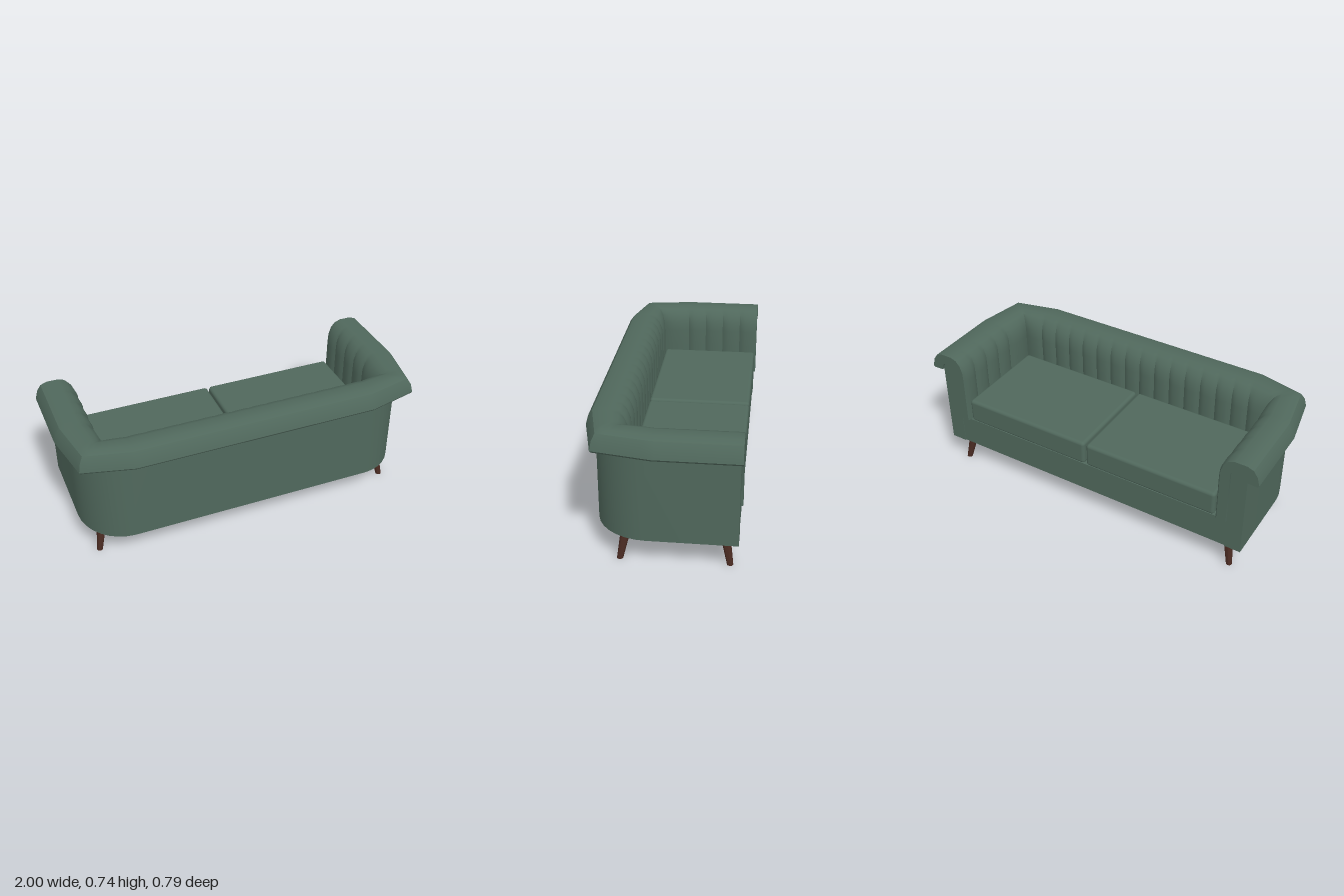
import * as THREE from 'three';
import { toCreasedNormals } from 'three/addons/utils/BufferGeometryUtils.js';
import { RoundedBoxGeometry } from 'three/addons/geometries/RoundedBoxGeometry.js';

const fabric = new THREE.MeshStandardMaterial({ color: 0x50685c });
fabric.name = 'green upholstery';
const wood = new THREE.MeshStandardMaterial({ color: 0x4a2b22 });
wood.name = 'dark wood';

function add(group, name, geometry, material = fabric) {
  const mesh = new THREE.Mesh(geometry, material);
  mesh.name = name;
  group.add(mesh);
  return mesh;
}

// Extrude a plan outline of [x, z] points between two heights
function slab(points, y0, y1) {
  const shape = new THREE.Shape(points.map(([x, z]) => new THREE.Vector2(x, -z)));
  const geo = new THREE.ExtrudeGeometry(shape, { depth: y1 - y0, bevelEnabled: false });
  geo.rotateX(-Math.PI / 2).translate(0, y0, 0);
  return toCreasedNormals(geo, 0.5);
}

// U-shaped outer wall with rounded rear corners
function wallOutline() {
  const half = [[0.845, 0.245], [0.845, -0.385], [0.935, -0.385]];
  for (let i = 0; i <= 8; i++) {
    const a = (i / 8) * Math.PI / 2;
    half.push([0.685 + 0.25 * Math.cos(a), 0.07 + 0.27 * Math.sin(a)]);
  }
  return [...half, ...half.slice().reverse().map(([x, z]) => [-x, z])];
}

// Padding section: outward distance, height, pleat strength
const section = [
  [0, 0.33, 1], [0, 0.5, 1], [0, 0.6, 1], [0.004, 0.65, 0.8], [0.022, 0.695, 0.5],
  [0.05, 0.723, 0.2], [0.085, 0.735, 0], [0.15, 0.735, 0], [0.185, 0.722, 0],
  [0.207, 0.69, 0], [0.22, 0.642, 0], [0.213, 0.632, 0], [0.156, 0.634, 0],
  [0.153, 0.655, 0], [0.14, 0.676, 0], [0.11, 0.685, 0], [0.08, 0.676, 0],
  [0.067, 0.655, 0], [0.065, 0.33, 0],
];

// Pleated padding and rolled rim swept round arms and back
function paddingGeometry() {
  // inner x, inner z, outer x, outer z, pleats to the next station
  const half = [
    [0.78, -0.397, 1, -0.397, 4], [0.78, 0.03, 1, 0.03, 1],
    [0.77, 0.175, 0.945, 0.325, 1], [0.67, 0.178, 0.67, 0.395, 14],
  ];
  const pleats = [4, 1, 1, 14, 1, 1, 4];
  const stations = [...half, ...half.slice().reverse().map(([a, b, c, d]) => [-a, b, -c, d])];
  const rings = [];
  const sub = 6;
  pleats.forEach((count, s) => {
    const total = count * sub;
    for (let k = s ? 1 : 0; k <= total; k++) {
      const [ix, iz, ox, oz] = stations[s].slice(0, 4)
        .map((v, j) => THREE.MathUtils.lerp(v, stations[s + 1][j], k / total));
      const puff = Math.sqrt(Math.abs(Math.sin((k / sub) * Math.PI)));
      rings.push(section.map(([u, y, w]) => {
        const t = (u + w * (0.013 - 0.016 * puff)) / 0.22;
        return [ix + (ox - ix) * t, y, iz + (oz - iz) * t];
      }));
    }
  });

  const n = section.length;
  const index = [];
  for (let r = 0; r < rings.length - 1; r++) {
    for (let j = 0; j < n; j++) {
      const a = r * n + j, b = r * n + (j + 1) % n;
      index.push(a, a + n, b, b, a + n, b + n);
    }
  }
  // Front end caps
  const last = (rings.length - 1) * n;
  const contour = section.map(([u, y]) => new THREE.Vector2(u, y));
  for (const [a, b, c] of THREE.ShapeUtils.triangulateShape(contour, [])) {
    index.push(a, c, b, last + a, last + b, last + c);
  }
  const geo = new THREE.BufferGeometry();
  geo.setAttribute('position', new THREE.Float32BufferAttribute(rings.flat(2), 3));
  geo.setIndex(index);
  return toCreasedNormals(geo.toNonIndexed(), 0.6);
}

// Tapered leg sheared outward so both ends stay level
function legGeometry(dx, dz) {
  const geo = new THREE.CylinderGeometry(0.026, 0.016, 0.16, 20);
  geo.translate(0, 0.08, 0);
  const p = geo.attributes.position;
  for (let i = 0; i < p.count; i++) {
    const t = 1 - p.getY(i) / 0.16;
    p.setX(i, p.getX(i) + dx * t);
    p.setZ(i, p.getZ(i) + dz * t);
  }
  return toCreasedNormals(geo.toNonIndexed(), 0.7);
}

export function createModel() {
  const sofa = new THREE.Group();
  sofa.name = 'sofa';

  add(sofa, 'outerWall', slab(wallOutline(), 0.155, 0.65));
  add(sofa, 'seatBase', slab([[0.845, -0.382], [0.845, 0.245], [-0.845, 0.245], [-0.845, -0.382]], 0.158, 0.333));
  add(sofa, 'pleatedPadding', paddingGeometry());

  for (const side of [-1, 1]) {
    // Rounded top of the arm panel
    const cap = new THREE.CylinderGeometry(0.045, 0.045, 0.415, 24);
    cap.rotateX(Math.PI / 2).translate(side * 0.89, 0.637, -0.1775);
    add(sofa, 'armPanelTop', cap);

    // Seat cushion
    const cushion = add(sofa, 'seatCushion', new RoundedBoxGeometry(0.766, 0.14, 0.563, 4, 0.018));
    cushion.position.set(side * 0.389, 0.404, -0.1065);

    // Splayed legs
    for (const [z, dz, name] of [[-0.313, -0.03, 'frontLeg'], [0.18, 0.03, 'backLeg']]) {
      const leg = add(sofa, name, legGeometry(side * 0.03, dz), wood);
      leg.position.set(side * 0.835, 0, z);
    }
  }
  return sofa;
}
